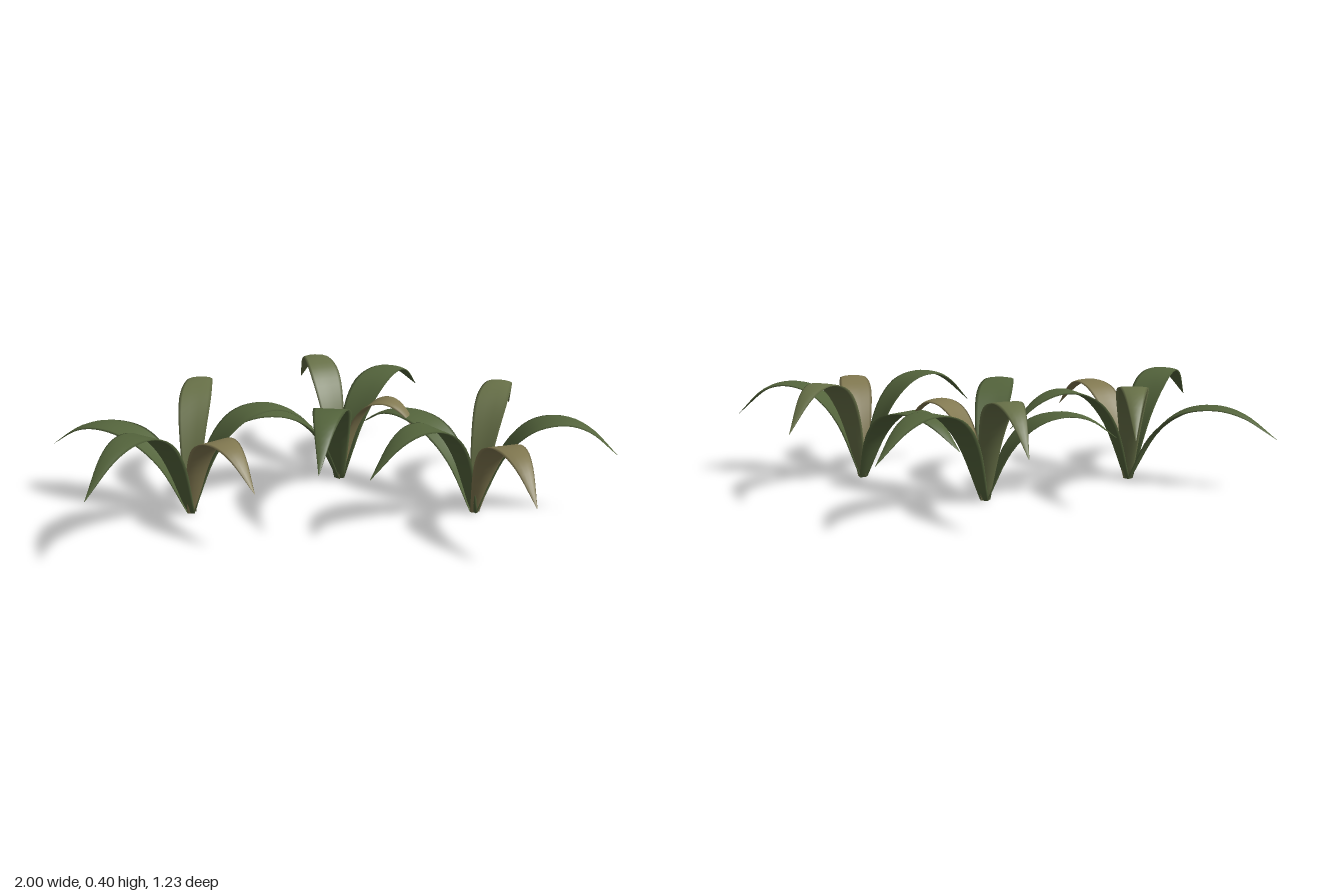
import * as THREE from 'three';

const green = new THREE.MeshStandardMaterial({ color: 0x54643c, roughness: 0.9, side: THREE.DoubleSide });
const olive = new THREE.MeshStandardMaterial({ color: 0x687148, roughness: 0.9, side: THREE.DoubleSide });
const tan = new THREE.MeshStandardMaterial({ color: 0x817850, roughness: 0.9, side: THREE.DoubleSide });

// the five leaves shared by every plant: peak height, full width, colour
const leafTypes = [
  { name: 'dryLeaf', peak: 0.34, width: 0.12, material: tan },
  { name: 'frontLeaf', peak: 0.377, width: 0.13, material: green },
  { name: 'lowLeaf', peak: 0.293, width: 0.135, material: green },
  { name: 'tallLeaf', peak: 0.398, width: 0.115, material: olive },
  { name: 'sideLeaf', peak: 0.355, width: 0.135, material: green },
];

// plant bases, and the x, z of each leaf tip in the order of leafTypes
const plants = [
  { name: 'leftmostPlant', x: -0.488, z: 0.147,
    tips: [[-0.24, 0.49], [-0.76, 0.59], [-1, -0.04], [-0.455, -0.355], [-0.04, -0.055]] },
  { name: 'middlePlant', x: 0.048, z: -0.157,
    tips: [[0.34, -0.005], [-0.035, 0.4], [-0.43, -0.03], [-0.1, -0.615], [0.375, -0.59]] },
  { name: 'rightmostPlant', x: 0.522, z: 0.157,
    tips: [[0.64, 0.612], [0.13, 0.44], [0.13, -0.235], [0.705, -0.275], [1, 0.21]] },
];

// arching leaf profile: reach fraction, height fraction, width fraction
const profile = new THREE.CatmullRomCurve3([
  [0.012, 0, 0.3], [0.165, 0.58, 0.76], [0.35, 0.9, 1],
  [0.57, 1, 0.84], [0.78, 0.92, 0.5], [1, 0.655, 0.015],
].map((p) => new THREE.Vector3(...p)), false, 'catmullrom', 0.5);

// lens-shaped cross-sections swept along the arch, in the +x direction
function leafGeometry(reach, peak, width) {
  const rows = 24, sides = 10;
  const positions = [], index = [];
  for (let i = 0; i <= rows; i++) {
    const t = i / rows;
    const p = profile.getPoint(t);
    const d = profile.getTangent(t);
    const slope = new THREE.Vector2(d.x * reach, d.y * peak).normalize();
    const half = (p.z * width) / 2;
    const thick = 0.005 * Math.min(1, p.z * 1.6);
    // channelled near the base, slightly domed further out
    const bend = half * (0.3 - 0.5 * t);
    for (let j = 0; j < sides; j++) {
      const a = (j / sides) * Math.PI * 2;
      const c = Math.cos(a);
      const lift = thick * Math.sin(a) + bend * (c * c - 0.5);
      positions.push(
        p.x * reach - slope.y * lift,
        Math.max(0, p.y * peak + slope.x * lift),
        half * c,
      );
    }
  }
  for (let i = 0; i < rows; i++) {
    for (let j = 0; j < sides; j++) {
      const a = i * sides + j, b = i * sides + ((j + 1) % sides);
      index.push(a, b, a + sides, b, b + sides, a + sides);
    }
  }
  // close the foot and the tip
  const last = rows * sides;
  for (let j = 1; j < sides - 1; j++) {
    index.push(0, j + 1, j, last, last + j, last + j + 1);
  }
  const geometry = new THREE.BufferGeometry();
  geometry.setAttribute('position', new THREE.Float32BufferAttribute(positions, 3));
  geometry.setIndex(index);
  geometry.computeVertexNormals();
  return geometry;
}

export function createModel() {
  const model = new THREE.Group();
  model.name = 'leafyPlants';
  for (const { name, x, z, tips } of plants) {
    const plant = new THREE.Group();
    plant.name = name;
    plant.position.set(x, 0, z);
    leafTypes.forEach((type, i) => {
      const dx = tips[i][0] - x, dz = tips[i][1] - z;
      const leaf = new THREE.Mesh(leafGeometry(Math.hypot(dx, dz), type.peak, type.width), type.material);
      leaf.name = type.name;
      leaf.rotation.y = -Math.atan2(dz, dx);
      plant.add(leaf);
    });
    model.add(plant);
  }
  return model;
}
